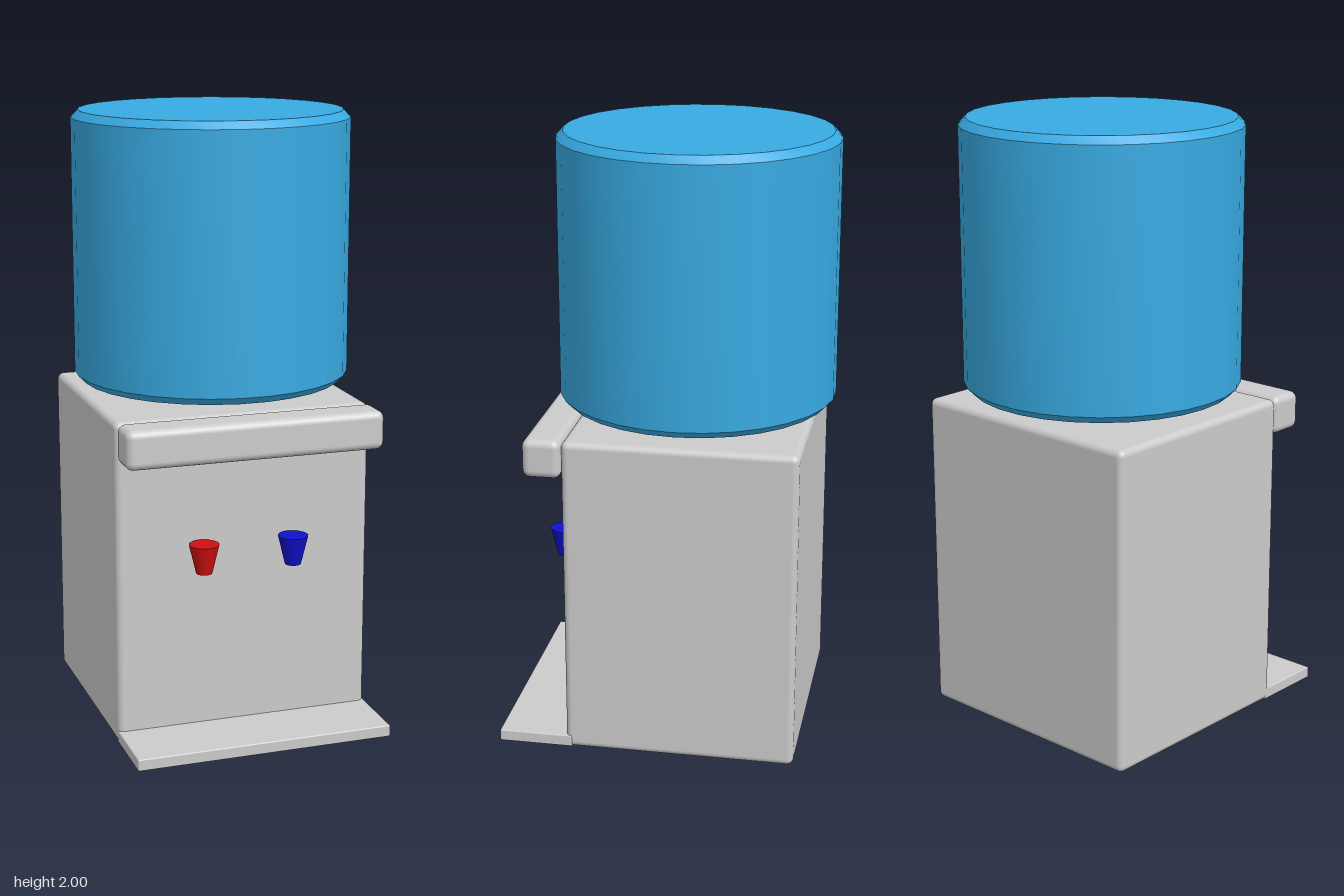
import * as THREE from 'three';
import { RoundedBoxGeometry } from 'three/addons/geometries/RoundedBoxGeometry.js';
import { toCreasedNormals } from 'three/addons/utils/BufferGeometryUtils.js';

const material = (color) => new THREE.MeshStandardMaterial({ color });

export function createModel() {
  const model = new THREE.Group();
  const grey = material(0xcccccc);

  function add(name, geometry, mat, x = 0, y = 0, z = 0) {
    const mesh = new THREE.Mesh(geometry, mat);
    mesh.name = name;
    mesh.position.set(x, y, z);
    model.add(mesh);
    return mesh;
  }

  // Rounded box given by its limits on each axis
  function block(name, [x0, x1], [y0, y1], [z0, z1], radius) {
    const geometry = new RoundedBoxGeometry(x1 - x0, y1 - y0, z1 - z0, 4, radius);
    return add(name, geometry, grey, (x0 + x1) / 2, (y0 + y1) / 2, (z0 + z1) / 2);
  }

  // Turned part with a corner on the x axis
  function turned(name, points, sides, mat, z) {
    const profile = points.map(([r, y]) => new THREE.Vector2(r, y));
    const geometry = new THREE.LatheGeometry(profile, sides, Math.PI / 2);
    return add(name, toCreasedNormals(geometry, 0.6), mat, -0.001, 0, z);
  }

  // Cabinet, overhanging front ledge and drip tray
  block('cabinet', [-0.437, 0.418], [0, 1.073], [-0.461, 0.295], 0.022);
  block('frontLedge', [-0.433, 0.422], [0.948, 1.075], [0.297, 0.421], 0.025);
  block('dripTray', [-0.436, 0.42], [0.003, 0.042], [0.275, 0.52], 0.004);

  // Flat collar with a rounded rim
  const collar = [[0, 1.075]];
  for (let i = 0; i <= 8; i++) {
    const a = -Math.PI / 2 + (i / 8) * Math.PI;
    collar.push([0.25 + 0.02 * Math.cos(a), 1.096 + 0.02 * Math.sin(a)]);
  }
  collar.push([0, 1.119]);
  turned('collar', collar, 40, grey, -0.078);

  // Water bottle with chamfered ends
  turned('waterBottle', [
    [0, 1.119], [0.43, 1.119], [0.453, 1.143],
    [0.453, 1.976], [0.43, 2], [0, 2],
  ], 30, material(0x38aae2), -0.074);

  // Hot and cold taps
  const tap = new THREE.CylinderGeometry(0.049, 0.026, 0.096, 24);
  add('hotTap', tap, material(0xd01010), -0.163, 0.622, 0.35);
  add('coldTap', tap, material(0x1010d0), 0.138, 0.622, 0.35);

  return model;
}
